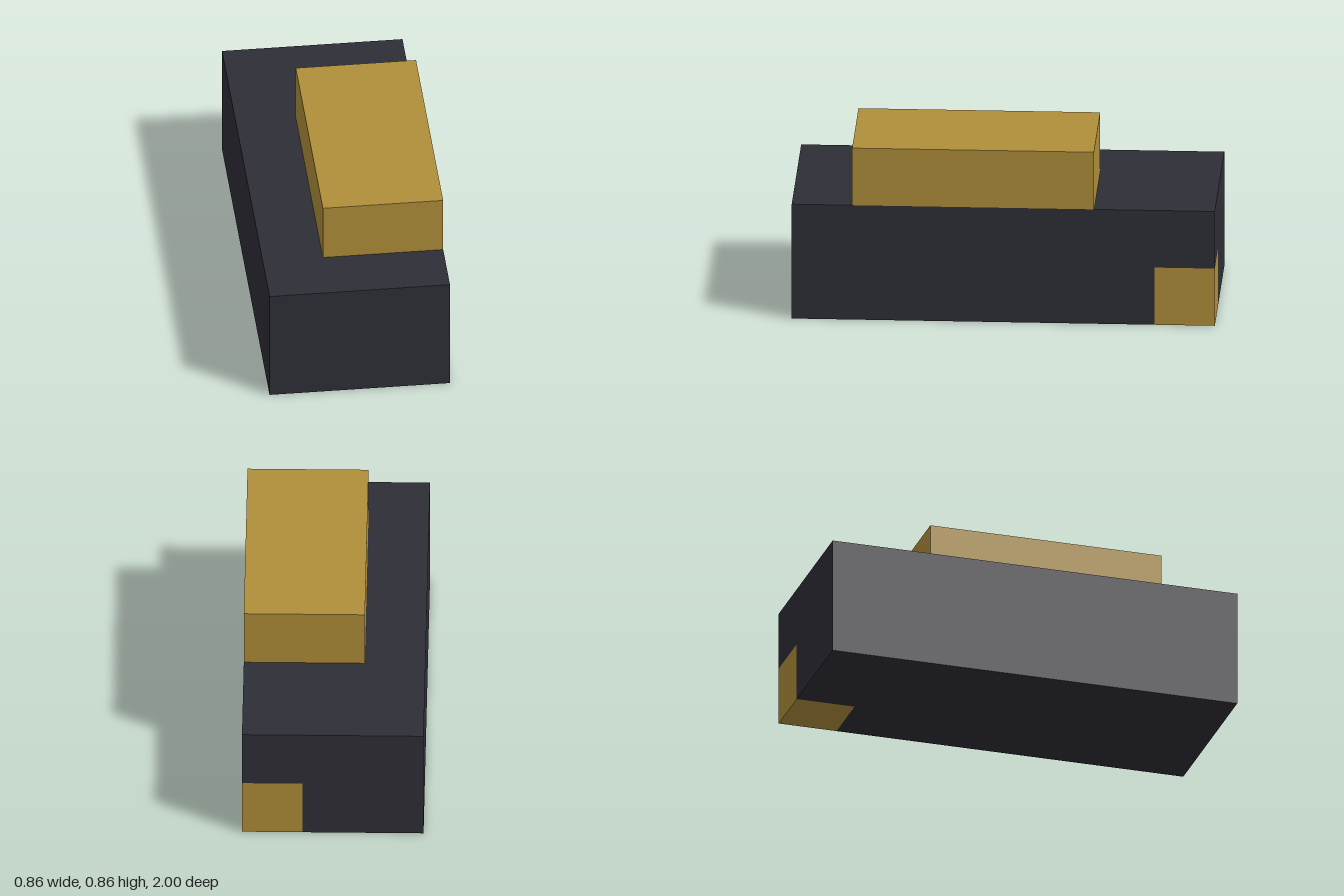
import * as THREE from 'three';

const U = 2 / 7; // one module of the block grid

export function createModel() {
  const model = new THREE.Group();
  model.name = 'steppedBlock';
  const charcoal = new THREE.MeshStandardMaterial({ color: 0x2e2e37 });
  charcoal.name = 'charcoal';
  const gold = new THREE.MeshStandardMaterial({ color: 0xb08f3a });
  gold.name = 'gold';

  const add = (name, geometry, material, x, y, z) => {
    const mesh = new THREE.Mesh(geometry, material);
    mesh.name = name;
    mesh.position.set(x * U, y * U, z * U);
    model.add(mesh);
    return mesh;
  };
  const box = (w, h, d) => new THREE.BoxGeometry(w * U, h * U, d * U);

  // Lower half of the body, notched at its back right corner (shape y = -z)
  const outline = [[-1.5, -3.5], [1.5, -3.5], [1.5, 2.5], [0.5, 2.5], [0.5, 3.5], [-1.5, 3.5]];
  const shape = new THREE.Shape(outline.map(([x, y]) => new THREE.Vector2(x * U, y * U)));
  const lower = new THREE.ExtrudeGeometry(shape, { depth: U, bevelEnabled: false });
  lower.rotateX(-Math.PI / 2);
  add('lowerBody', lower, charcoal, 0, 0, 0);

  // Upper half of the body
  add('upperBody', box(3, 1, 7), charcoal, 0, 1.5, 0);

  // Corner cube filling the notch flush with the body
  add('cornerBlock', box(1, 1, 1), gold, 1, 0.5, -3);

  // Raised block on top, flush with the right side
  add('topBlock', box(2, 1, 4), gold, 0.5, 2.5, 0.5);

  return model;
}
